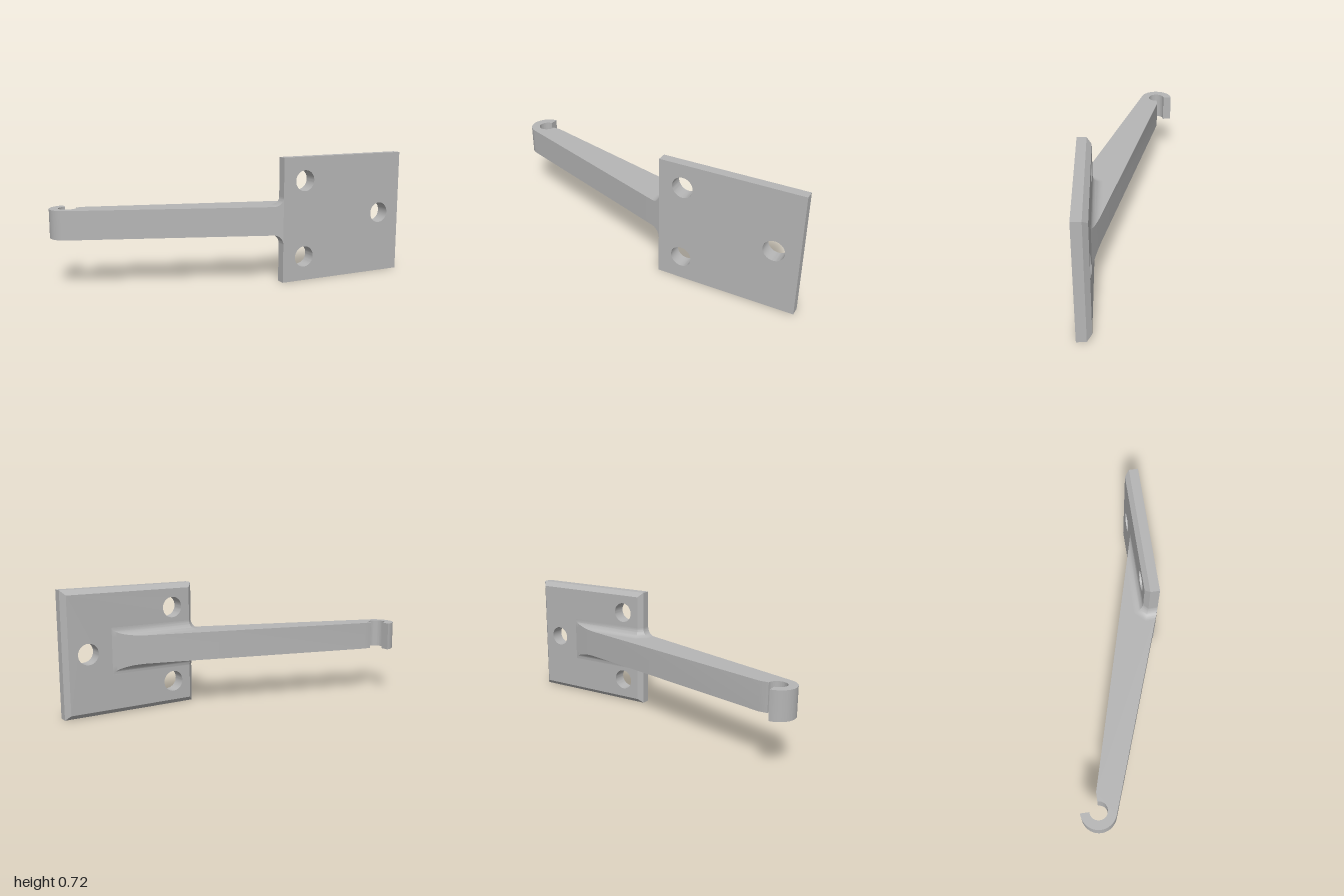
import * as THREE from 'three';
import { toCreasedNormals } from 'three/addons/utils/BufferGeometryUtils.js';

// Shared dimensions
const LEFT = 0.2, RIGHT = 1, HEIGHT = 0.716;          // plate outline
const FRONT = 0.298, BACK = 0.217, CHAMFER = 0.027;   // plate depth
const ARM_LOW = 0.277, ARM_HIGH = 0.44;               // arm height range
const HOOK = { x: -0.9, z: -0.198, outer: 0.1, inner: 0.05 };
const ARM_TIP = 0.72;                                 // where the arm runs into the plate
const FILLET = 0.053;

// Angle of the arm's front face, tangent to the hook
const dx = LEFT - HOOK.x, dz = FRONT - HOOK.z;
const frontAngle = Math.atan2(dz, dx) - Math.asin(HOOK.outer / Math.hypot(dx, dz));
const frontSlope = Math.tan(frontAngle);
const backSlope = (BACK - HOOK.z) / (ARM_TIP + 0.8);

// Plate with three through holes; the rear outline is pulled in to form the chamfer
function plateGeometry() {
  const shape = new THREE.Shape([
    new THREE.Vector2(LEFT, 0), new THREE.Vector2(RIGHT, 0),
    new THREE.Vector2(RIGHT, HEIGHT), new THREE.Vector2(LEFT, HEIGHT),
  ]);
  for (const [x, y] of [[0.338, 0.58], [0.338, 0.14], [0.86, 0.358]]) {
    shape.holes.push(new THREE.Path().absarc(x, y, 0.06, 0, Math.PI * 2, true));
  }
  const geo = new THREE.ExtrudeGeometry(shape, {
    depth: FRONT - BACK, steps: 3, bevelEnabled: false, curveSegments: 24,
  });
  const p = geo.attributes.position;
  for (let i = 0; i < p.count; i++) {
    if (p.getZ(i) > 1e-4) continue;
    p.setX(i, THREE.MathUtils.clamp(p.getX(i), LEFT + CHAMFER, RIGHT - CHAMFER));
    p.setY(i, THREE.MathUtils.clamp(p.getY(i), CHAMFER, HEIGHT - CHAMFER));
  }
  geo.translate(0, 0, BACK);
  return toCreasedNormals(geo, 0.5);
}

// Tapered arm ending in an open hook, drawn in plan and extruded vertically
function armGeometry() {
  const shape = new THREE.Shape();
  shape.moveTo(HOOK.x, HOOK.z - HOOK.outer);
  shape.absarc(HOOK.x, HOOK.z, HOOK.outer, -Math.PI / 2, frontAngle - Math.PI * 1.5, true);
  shape.lineTo(LEFT, FRONT);
  shape.lineTo(ARM_TIP, BACK);
  shape.lineTo(-0.8, HOOK.z);
  shape.lineTo(HOOK.x + HOOK.inner, HOOK.z);
  shape.absarc(HOOK.x, HOOK.z, HOOK.inner, 0, Math.PI * 1.5, false);
  shape.closePath();
  const geo = new THREE.ExtrudeGeometry(shape, {
    depth: ARM_HIGH - ARM_LOW, bevelEnabled: false, curveSegments: 32,
  });
  geo.rotateX(Math.PI / 2);
  geo.translate(0, ARM_HIGH, 0);
  return toCreasedNormals(geo, 0.3);
}

// Concave blend following the plate's side, chamfer and back, trimmed by the arm's faces
function filletGeometry(side) {
  const y0 = side > 0 ? ARM_HIGH : ARM_LOW;
  const rows = 12, miter = Math.tan(Math.PI / 8), pos = [], index = [];
  for (let j = 0; j <= rows; j++) {
    const t = (j / rows) * Math.PI / 2;
    const d = FILLET * (1 - Math.cos(t));
    const y = y0 + side * FILLET * (1 - Math.sin(t));
    const a = [LEFT - d, FRONT - frontSlope * d];
    const b = [LEFT - d, BACK + CHAMFER - miter * d];
    const c = [LEFT + CHAMFER - miter * d, BACK - d];
    const e = [ARM_TIP - d / backSlope, BACK - d];
    const loop = [[a, y0], [a, y], [b, y], [c, y], [e, y], [e, y0]];
    for (const [[x, z], h] of loop) pos.push(x, h, z);
  }
  for (let j = 0; j < rows; j++) {
    for (let i = 0; i < 5; i++) {
      const a = j * 6 + i, b = a + 1, c = b + 6, d = a + 6;
      if (side > 0) index.push(a, b, c, a, c, d);
      else index.push(a, c, b, a, d, c);
    }
  }
  const geo = new THREE.BufferGeometry();
  geo.setAttribute('position', new THREE.Float32BufferAttribute(pos, 3));
  geo.setIndex(index);
  return toCreasedNormals(geo, 0.5);
}

export function createModel() {
  const grey = new THREE.MeshStandardMaterial({ color: 0xb5b5b5 });
  grey.name = 'plain grey';
  const model = new THREE.Group();
  model.name = 'hookBracket';
  const add = (name, geo) => {
    const mesh = new THREE.Mesh(geo, grey);
    mesh.name = name;
    model.add(mesh);
  };
  add('mountingPlate', plateGeometry());
  add('hookArm', armGeometry());
  add('upperFillet', filletGeometry(1));
  add('lowerFillet', filletGeometry(-1));
  return model;
}
